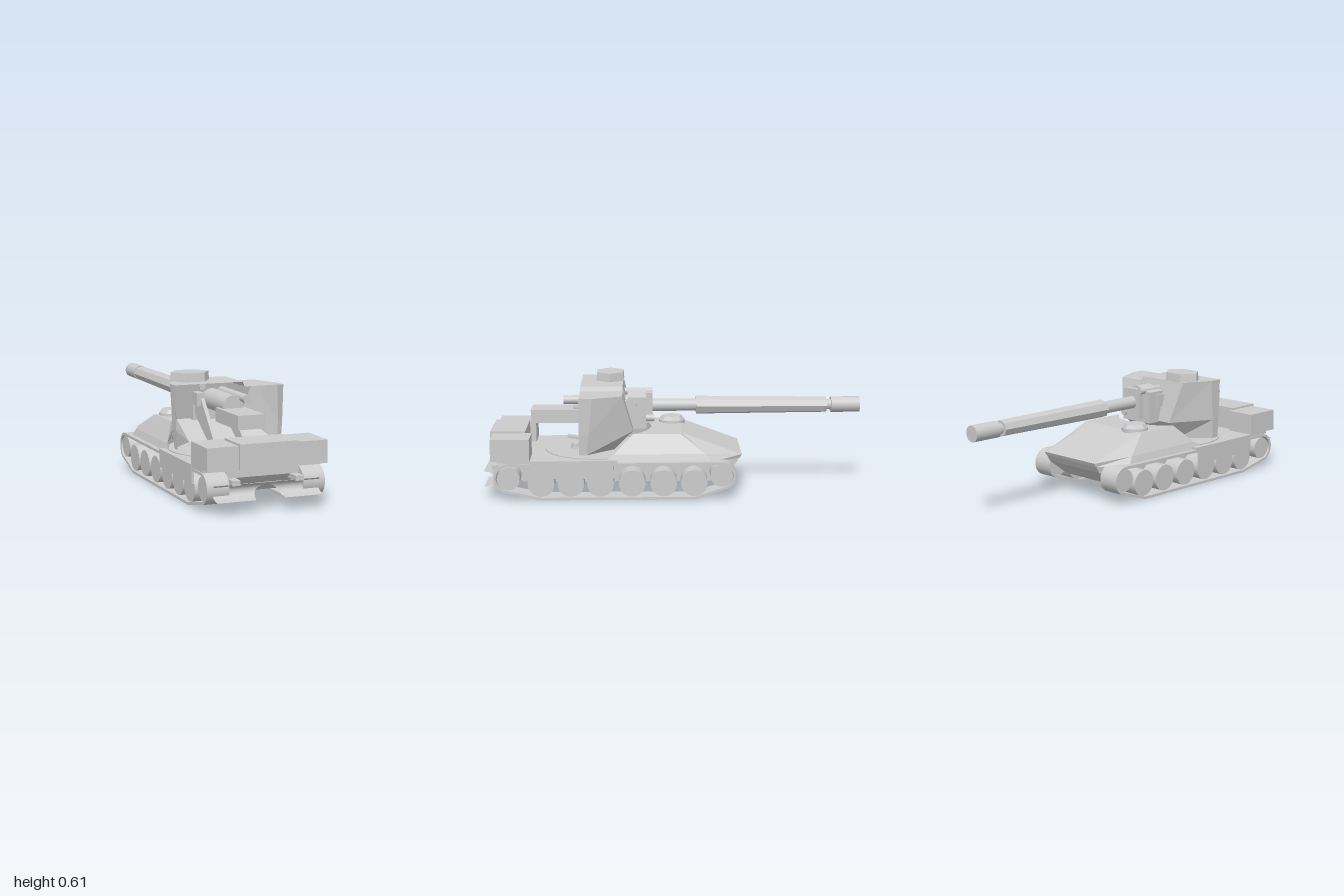
import * as THREE from 'three';

const grey = new THREE.MeshStandardMaterial({ color: 0xcccccc });
const flat = new THREE.MeshStandardMaterial({ color: 0xcccccc, flatShading: true, side: THREE.DoubleSide });

export function createModel() {
  const model = new THREE.Group();

  const add = (name, geometry, x = 0, y = 0, z = 0, material = grey) => {
    const mesh = new THREE.Mesh(geometry, material);
    mesh.name = name;
    mesh.position.set(x, y, z);
    model.add(mesh);
    return mesh;
  };
  // Box given by its limits on each axis
  const box = (name, x0, x1, y0, y1, z0, z1) =>
    add(name, new THREE.BoxGeometry(x1 - x0, y1 - y0, z1 - z0), (x0 + x1) / 2, (y0 + y1) / 2, (z0 + z1) / 2);
  // Round bar along z, from rear (larger z) to muzzle end
  const bar = (name, rRear, rFront, x, y, zRear, zFront, sides = 24, material = grey) =>
    add(name, new THREE.CylinderGeometry(rRear, rFront, zRear - zFront, sides).rotateX(Math.PI / 2),
      x, y, (zRear + zFront) / 2, material);
  // Side profile in (z, y), extruded across x
  const profile = (name, shape, x0, x1) =>
    add(name, new THREE.ExtrudeGeometry(shape, { depth: x1 - x0, bevelEnabled: false, curveSegments: 20 })
      .rotateY(-Math.PI / 2), x1, 0, 0);
  const polygon = pts => new THREE.Shape(pts.map(p => new THREE.Vector2(...p)));

  const meshFrom = (name, tris) => {
    const g = new THREE.BufferGeometry();
    g.setAttribute('position', new THREE.Float32BufferAttribute(tris.flat(), 3));
    g.computeVertexNormals();
    return add(name, g, 0, 0, 0, flat);
  };
  const fan = (tris, pts) => {
    for (let i = 1; i < pts.length - 1; i++) tris.push(pts[0], pts[i], pts[i + 1]);
  };
  // Walls between stacked outlines of [x, y, z] points
  const walls = (tris, rings, closed) => {
    for (let r = 0; r < rings.length - 1; r++) {
      const a = rings[r], b = rings[r + 1], n = a.length;
      for (let i = 0; i < (closed ? n : n - 1); i++) {
        const j = (i + 1) % n;
        fan(tris, [a[i], a[j], b[j], b[i]]);
      }
    }
  };

  // Lower hull and deck
  profile('lowerHull', polygon([[0.9, 0.21], [-0.35, 0.21], [-0.32, 0.16], [-0.2, 0.07], [0.8, 0.07], [0.9, 0.16]]), -0.19, 0.19);
  box('rearDeck', -0.31, 0.31, 0.195, 0.21, 0.3, 0.9);

  // Upper hull: sloped plates with a round cut at the rear for the gun mount
  const ringR = 0.285, ringZ = 0.41;
  const hullRing = (half, y, shoulderZ, noseHalf, noseY, noseZ) => {
    const pts = [[half, y, shoulderZ], [noseHalf, noseY, noseZ], [-noseHalf, noseY, noseZ], [-half, y, shoulderZ]];
    for (let i = 0; i <= 20; i++) {
      const x = half * (i / 10 - 1);
      pts.push([x, y, ringZ - Math.sqrt(Math.max(0, ringR * ringR - x * x))]);
    }
    return pts;
  };
  const hullRings = [
    hullRing(0.284, 0.195, -0.19, 0.19, 0.195, -0.345),
    hullRing(0.27, 0.235, -0.16, 0.19, 0.215, -0.355),
    hullRing(0.212, 0.33, -0.03, 0.17, 0.33, -0.035),
  ];
  const hull = [];
  walls(hull, hullRings, true);
  const top = hullRings[2];
  THREE.ShapeUtils.triangulateShape(top.map(p => new THREE.Vector2(p[0], -p[2])), [])
    .forEach(f => f.forEach(i => hull.push(top[i])));
  meshFrom('upperHull', hull);

  // Driver's cupola
  add('cupolaBase', new THREE.CylinderGeometry(0.07, 0.072, 0.035, 24), -0.125, 0.325, 0.01);
  add('cupolaLid', new THREE.CylinderGeometry(0.055, 0.07, 0.02, 8), -0.125, 0.353, 0.01, flat);

  // Tracks, wheels and side skirts
  const loop = (path, inset) => {
    path.moveTo(-0.1, inset);
    path.lineTo(0.7, inset);
    path.absarc(0.87, 0.115, 0.078 - inset, -1.35, Math.PI / 2, false);
    path.absarc(-0.243, 0.125, 0.075 - inset, Math.PI / 2, 4.4, false);
    path.closePath();
    return path;
  };
  const wheels = [[0.87, 0.113, 0.06], [-0.243, 0.125, 0.059],
    ...[0.7, 0.545, 0.39, 0.225, 0.06, -0.1].map(z => [z, 0.086, 0.07])];
  for (const s of [-1, 1]) {
    const track = loop(new THREE.Shape(), 0);
    track.holes.push(loop(new THREE.Path(), 0.014));
    profile('track', track, s > 0 ? 0.195 : -0.31, s > 0 ? 0.31 : -0.195);
    for (const [z, y, r] of wheels) {
      add('wheel', new THREE.CylinderGeometry(r, r, 0.1, 24).rotateZ(Math.PI / 2), s * 0.25, y, z);
    }
    const skirt = [s * 0.3, s * 0.313].sort((a, b) => a - b);
    box('sideSkirt', ...skirt, 0.115, 0.21, 0.32, 0.757);
    const bin = [s * 0.153, s * 0.315].sort((a, b) => a - b);
    box('stowageBin', ...bin, 0.21, 0.325, 0.757, 0.96);
    const arm = [s * 0.145, s * 0.187].sort((a, b) => a - b);
    box('spadeArm', ...arm, 0.135, 0.16, 0.86, 0.965);
  }
  box('centreBin', -0.153, 0.153, 0.21, 0.335, 0.79, 0.975);

  // Recoil spade: a curved sheet with a rounded notch in its lower edge
  const spade = new THREE.PlaneGeometry(0.556, 1, 80, 14);
  const p = spade.attributes.position;
  for (let i = 0; i < p.count; i++) {
    const x = p.getX(i), t = 0.5 - p.getY(i);
    const low = 0.067 + (Math.abs(x) < 0.07 ? 0.06 * Math.sqrt(1 - (x / 0.07) ** 2) : 0);
    const y = 0.15 + (low - 0.15) * t;
    p.setXYZ(i, x, y, 0.998 - 1.5 * Math.sqrt(Math.max(0, 0.0415 ** 2 - (y - 0.1085) ** 2)));
  }
  spade.computeVertexNormals();
  add('recoilSpade', spade, 0, 0, 0, new THREE.MeshStandardMaterial({ color: 0xcccccc, side: THREE.DoubleSide }));

  // Turntable and pedestal
  add('turntable', new THREE.CylinderGeometry(ringR, ringR, 0.01, 48), 0, 0.21, ringZ);
  add('pedestal', new THREE.CylinderGeometry(0.08, 0.09, 0.03, 24), 0, 0.228, 0.47);
  for (const s of [-1, 1]) {
    const leg = polygon([[0.53, 0.235], [0.45, 0.235], [0.2, 0.4], [0.2, 0.46], [0.33, 0.46]]);
    profile('cradleLeg', leg, s * 0.08 - 0.01, s * 0.08 + 0.01);
    box('trunnionBlock', s * 0.09 - 0.02, s * 0.09 + 0.02, 0.42, 0.487, 0.2, 0.33);
  }
  const seat = box('gunnerSeat', -0.1, -0.06, 0.245, 0.26, 0.5, 0.58);
  seat.rotation.x = -0.15;

  // Gun shield: open at the rear, stepped roof
  const shieldRing = (back, front, backZ, frontZ, yL, yR) => [
    [back, yL, 0.5], [back, yL, backZ], [front, yL, frontZ], [0.08, yL, frontZ],
    [0.07, yR, frontZ], [-front, yR, frontZ], [-back, yR, backZ], [-back, yR, 0.5],
  ];
  const roof = shieldRing(0.297, 0.23, 0.43, 0.275, 0.535, 0.56);
  const shield = [];
  walls(shield, [
    shieldRing(0.285, 0.15, 0.46, 0.32, 0.235, 0.235),
    shieldRing(0.292, 0.18, 0.45, 0.22, 0.34, 0.34),
    roof,
  ], false);
  const stepL = [0.08, 0.535, 0.5], stepR = [0.07, 0.56, 0.5];
  fan(shield, [...roof.slice(0, 4), stepL]);
  fan(shield, [stepL, roof[3], roof[4], stepR]);
  fan(shield, [stepR, ...roof.slice(4)]);
  meshFrom('gunShield', shield);

  // Six-sided roof hatch
  add('roofHatch', new THREE.CylinderGeometry(0.103, 0.108, 0.045, 6).rotateY(Math.PI / 6)
    .scale(1, 1, 0.8), -0.158, 0.5825, 0.345, flat);

  // Mantlet around the gun
  const mantlet = polygon([[-0.1, 0.335], [0.1, 0.335], [0.1, 0.505], [0, 0.533], [-0.1, 0.505]]);
  add('mantlet', new THREE.ExtrudeGeometry(mantlet, { depth: 0.1, bevelEnabled: false }), 0, 0, 0.15);
  box('mantletFace', -0.055, 0.055, 0.36, 0.52, 0.115, 0.16);
  bar('recoilCylinder', 0.018, 0.018, -0.055, 0.512, 0.27, 0.115);
  bar('recoilCylinder', 0.018, 0.018, 0.055, 0.385, 0.27, 0.105);

  // Breech, recuperator and barrel
  const axis = 0.445;
  bar('breech', 0.055, 0.055, 0, axis, 0.54, 0.2);
  bar('recuperator', 0.022, 0.022, 0.055, 0.485, 0.59, 0.2);
  box('loadingTray', -0.072, 0.072, 0.363, 0.434, 0.48, 0.765);
  bar('barrelRoot', 0.034, 0.032, 0, axis, 0.2, -0.13);
  bar('barrelSleeve', 0.049, 0.042, 0, axis, -0.118, -0.82, 8, flat).scale.x = 1.16;
  bar('barrelNeck', 0.028, 0.028, 0, axis, -0.81, -0.85);
  bar('muzzle', 0.042, 0.042, 0, axis, -0.845, -1);

  return model;
}
